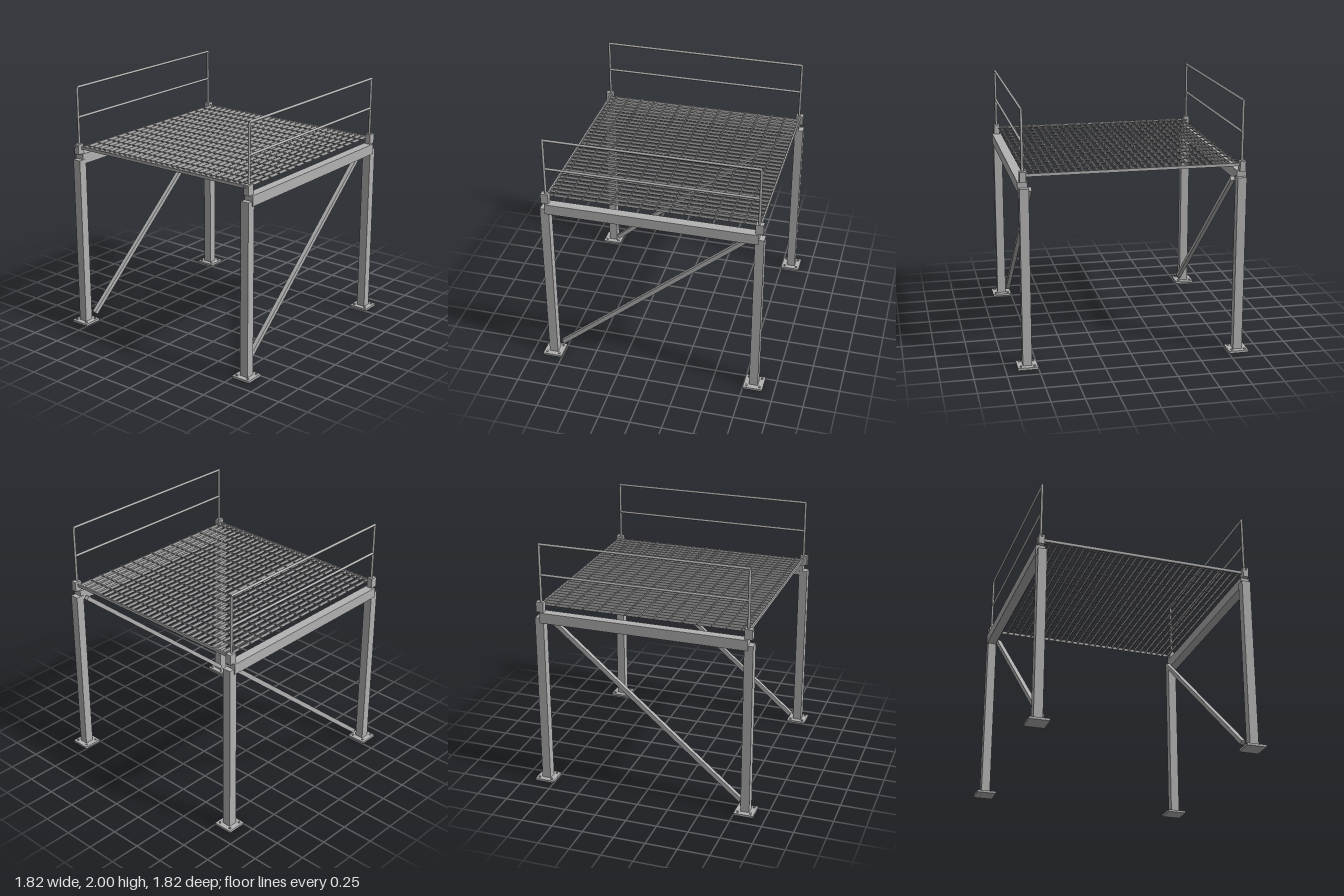
import * as THREE from 'three';

export function createModel() {
  const model = new THREE.Group();
  const steel = new THREE.MeshStandardMaterial({ color: 0xb2b2b2 });
  steel.name = 'galvanised steel';

  const add = (name, geometry, x, y, z, parent = model) => {
    const mesh = new THREE.Mesh(geometry, steel);
    mesh.name = name;
    mesh.position.set(x, y, z);
    parent.add(mesh);
    return mesh;
  };
  const box = (name, w, h, d, x, y, z, parent) =>
    add(name, new THREE.BoxGeometry(w, h, d), x, y, z, parent);
  const rod = (name, r, length, axis, x, y, z, parent, sides = 12) => {
    const g = new THREE.CylinderGeometry(r, r, length, sides);
    if (axis === 'x') g.rotateZ(Math.PI / 2);
    if (axis === 'z') g.rotateX(Math.PI / 2);
    return add(name, g, x, y, z, parent);
  };

  for (const sx of [-1, 1]) {
    for (const sz of [-1, 1]) {
      // Column with its bolted foot plate
      const leg = new THREE.Group();
      leg.name = 'leg';
      leg.position.set(sx * 0.83, 0, sz * 0.83);
      model.add(leg);
      box('column', 0.07, 1.39, 0.07, 0, 0.71, 0, leg);
      box('footPlate', 0.156, 0.018, 0.156, 0, 0.009, 0, leg);
      for (const bx of [-0.052, 0.052])
        for (const bz of [-0.052, 0.052])
          rod('anchorBolt', 0.009, 0.01, 'y', bx, 0.022, bz, leg);

      // Bracket holding the railing post
      box('railBracket', 0.046, 0.08, 0.06, sx * 0.836, 1.491, sz * 0.826);
      rod('railPost', 0.01, 0.485, 'y', sx * 0.836, 1.747, sz * 0.82);
    }
    rod('bracketBolt', 0.007, 0.012, 'z', sx * 0.836, 1.515, 0.86);

    // Side beam
    box('beam', 0.074, 0.083, 1.648, sx * 0.837, 1.409, 0);

    // Diagonal brace, from the front foot to the back of the beam
    const low = new THREE.Vector2(0.774, 0.068);
    const high = new THREE.Vector2(-0.778, 1.382);
    const brace = box('brace', 0.034, 0.035, low.distanceTo(high),
      sx * 0.779, (low.y + high.y) / 2, (low.x + high.x) / 2);
    brace.rotation.x = Math.atan2(high.y - low.y, low.x - high.x);

    // Handrail and mid rail
    rod('handrail', 0.01, 1.65, 'z', sx * 0.836, 1.99, 0);
    rod('midRail', 0.01, 1.64, 'z', sx * 0.836, 1.747, 0);
  }

  // Open grating deck
  const deck = new THREE.Group();
  deck.name = 'gratingDeck';
  model.add(deck);
  for (let i = -15; i <= 15; i++)
    box('bearingBar', 0.008, 0.023, 1.64, i * 0.0533, 1.501, -0.005, deck);
  for (let i = 0; i < 14; i++)
    rod('crossRod', 0.005, 1.66, 'x', 0, 1.507, -0.706 + i * 0.113, deck, 8);
  for (const z of [-0.828, 0.818])
    box('edgeBar', 1.63, 0.023, 0.012, 0, 1.501, z, deck);

  return model;
}
